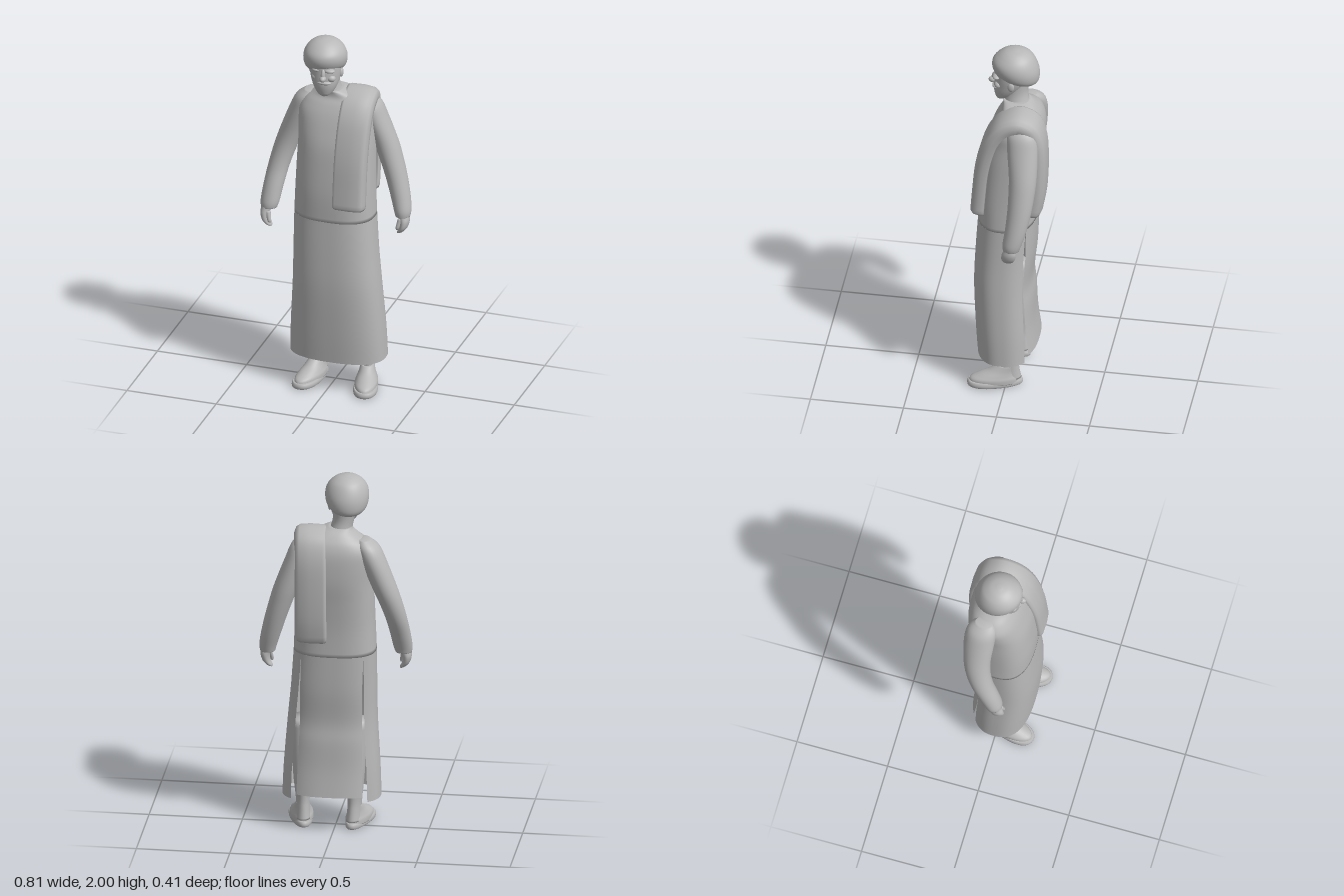
import * as THREE from 'three';

const cloth = new THREE.MeshStandardMaterial({ color: 0xb8b8b8, side: THREE.DoubleSide });
cloth.name = 'plainGrey';

// Smooth interpolation through rows of numbers
function spline(rows, steps) {
  const out = [];
  const at = i => rows[Math.max(0, Math.min(rows.length - 1, i))];
  for (let i = 0; i < rows.length - 1; i++) {
    for (let s = 0; s < steps; s++) {
      const t = s / steps;
      out.push(rows[i].map((p1, k) => {
        const p0 = at(i - 1)[k], p2 = at(i + 1)[k], p3 = at(i + 2)[k];
        return 0.5 * (2 * p1 + (p2 - p0) * t + (2 * p0 - 5 * p1 + 4 * p2 - p3) * t * t
          + (3 * p1 - p0 - 3 * p2 + p3) * t * t * t);
      }));
    }
  }
  out.push(rows[rows.length - 1]);
  return out;
}

// Skin rings of points; optional closed rings and end caps
function skin(rings, closed, caps) {
  const n = rings[0].length, pos = rings.flat(2), idx = [];
  const cols = closed ? n : n - 1;
  for (let i = 0; i < rings.length - 1; i++) {
    for (let j = 0; j < cols; j++) {
      const a = i * n + j, b = i * n + (j + 1) % n;
      idx.push(a, a + n, b, b, a + n, b + n);
    }
  }
  if (caps) {
    [0, rings.length - 1].forEach((r, end) => {
      const c = pos.length / 3;
      for (let k = 0; k < 3; k++) pos.push(rings[r].reduce((s, p) => s + p[k], 0) / n);
      for (let j = 0; j < n; j++) {
        const a = r * n + j, b = r * n + (j + 1) % n;
        idx.push(...(end ? [c, b, a] : [c, a, b]));
      }
    });
  }
  const g = new THREE.BufferGeometry();
  g.setAttribute('position', new THREE.Float32BufferAttribute(pos, 3));
  g.setIndex(idx);
  g.computeVertexNormals();
  return g;
}

// Horizontal sections [x, y, z, radiusX, radiusZ], bottom to top; from/to in degrees
function loft(rows, { from = 0, to = 360, power = 1, n = 36, caps = true, steps = 5 } = {}) {
  const closed = to - from === 360;
  const bend = v => Math.sign(v) * Math.pow(Math.abs(v), power);
  const rings = spline(rows, steps).map(([x, y, z, rx, rz, open = 0]) => {
    const ring = [];
    for (let j = 0; j < n; j++) {
      const f = from + open, t = to - open;
      const a = THREE.MathUtils.degToRad(f + (t - f) * j / (closed ? n : n - 1));
      ring.push([x + rx * bend(Math.cos(a)), y, z + rz * bend(Math.sin(a))]);
    }
    return ring;
  });
  return skin(rings, closed, caps && closed);
}

export function createModel() {
  const root = new THREE.Group();
  const add = (name, geometry, parent = root) => {
    const m = new THREE.Mesh(geometry, cloth);
    m.name = name;
    parent.add(m);
    return m;
  };
  const ball = (name, x, y, z, rx, ry, rz) => {
    const m = add(name, new THREE.SphereGeometry(1, 28, 20));
    m.position.set(x, y, z);
    m.scale.set(rx, ry, rz);
    return m;
  };

  // Upper robe, with the shoulders closing in to the neck
  add('robeTop', loft([
    [0.005, 1.00, 0.015, 0.220, 0.157], [0.005, 1.15, 0.013, 0.214, 0.160],
    [0.005, 1.30, 0.000, 0.210, 0.162], [0.005, 1.42, -0.015, 0.207, 0.162],
    [0.000, 1.52, -0.030, 0.207, 0.150], [0.000, 1.59, -0.040, 0.205, 0.135],
    [0.005, 1.64, -0.045, 0.180, 0.115], [0.005, 1.675, -0.045, 0.135, 0.093],
    [-0.01, 1.70, -0.035, 0.088, 0.080], [-0.03, 1.715, -0.020, 0.062, 0.070],
  ], { power: 0.8, n: 48 }));

  // Skirt: front wraps round the sides, back hangs between two slits
  add('skirtFront', loft([
    [0.022, 0.175, 0.010, 0.263, 0.158, 2], [0.022, 0.35, 0.018, 0.256, 0.162, 2],
    [0.020, 0.60, 0.030, 0.239, 0.160, 1.5], [0.012, 0.80, 0.026, 0.228, 0.158, 1],
    [0.005, 1.00, 0.015, 0.220, 0.157, 0],
  ], { from: -45, to: 225, power: 0.8, n: 54 }));
  add('skirtBack', loft([
    [0.018, 0.205, -0.005, 0.245, 0.148, 3], [0.018, 0.35, 0.000, 0.238, 0.135, 3],
    [0.015, 0.50, 0.010, 0.230, 0.138, 2], [0.014, 0.62, 0.012, 0.226, 0.130, 2],
    [0.012, 0.80, 0.010, 0.222, 0.145, 1], [0.005, 1.00, 0.015, 0.220, 0.157, 0],
  ], { from: 225, to: 315, power: 0.8, n: 24 }));

  // Sleeves
  add('rightSleeve', loft([
    [-0.357, 0.985, 0.048, 0.044, 0.042], [-0.354, 1.02, 0.040, 0.051, 0.048],
    [-0.345, 1.10, 0.010, 0.054, 0.055], [-0.329, 1.20, -0.030, 0.057, 0.061],
    [-0.303, 1.30, -0.058, 0.062, 0.067], [-0.268, 1.40, -0.072, 0.067, 0.074],
    [-0.214, 1.54, -0.075, 0.068, 0.083], [-0.183, 1.62, -0.070, 0.060, 0.077],
    [-0.160, 1.662, -0.065, 0.030, 0.045],
  ], { n: 28 }));
  add('leftSleeve', loft([
    [0.357, 0.995, -0.055, 0.040, 0.044], [0.354, 1.03, -0.060, 0.047, 0.051],
    [0.338, 1.10, -0.075, 0.053, 0.057], [0.311, 1.20, -0.090, 0.058, 0.064],
    [0.280, 1.30, -0.098, 0.063, 0.070], [0.247, 1.40, -0.100, 0.066, 0.075],
    [0.200, 1.54, -0.090, 0.060, 0.082], [0.178, 1.62, -0.080, 0.050, 0.076],
    [0.160, 1.662, -0.070, 0.030, 0.045],
  ], { n: 28 }));

  // Hands: palm, curled fingers and thumb
  const hand = (name, s, x, y, z) => {
    const g = new THREE.Group();
    g.name = name;
    g.position.set(x, y, z);
    root.add(g);
    add('palm', loft([
      [-0.022 * s, -0.105, 0.012, 0.008, 0.014], [-0.012 * s, -0.095, 0.012, 0.016, 0.026],
      [0.004 * s, -0.07, 0.010, 0.021, 0.036], [0.010 * s, -0.035, 0.005, 0.025, 0.038],
      [0.004 * s, 0, 0, 0.029, 0.030], [0, 0.04, -0.005, 0.030, 0.030],
    ], { n: 20 }), g);
    add('thumb', loft([
      [-0.024 * s, -0.08, 0.034, 0.006, 0.006], [-0.021 * s, -0.065, 0.034, 0.011, 0.011],
      [-0.010 * s, -0.02, 0.020, 0.014, 0.014],
    ], { n: 12 }), g);
  };
  hand('rightHand', -1, -0.363, 0.99, 0.058);
  hand('leftHand', 1, 0.362, 1.005, -0.05);

  // Scarf: path rows [centreX, y, z] of its outer face, front hem over shoulder to back hem
  const path = spline([
    [0.128, 1.095, 0.198], [0.128, 1.20, 0.190], [0.130, 1.35, 0.176], [0.132, 1.48, 0.150],
    [0.134, 1.59, 0.112], [0.134, 1.67, 0.055], [0.132, 1.712, -0.020], [0.128, 1.712, -0.090],
    [0.122, 1.665, -0.160], [0.117, 1.56, -0.198], [0.115, 1.40, -0.207], [0.115, 1.22, -0.200],
    [0.115, 1.09, -0.180],
  ], 5);
  // Cross-section [across, outward]; the outer edge curls down round the shoulder
  const band = [
    [-0.085, -0.040], [-0.088, -0.020], [-0.084, -0.006], [-0.070, 0], [0, 0.002],
    [0.055, -0.004], [0.076, -0.018], [0.085, -0.045], [0.082, -0.078], [0.070, -0.080],
    [0.055, -0.055], [0, -0.042],
  ];
  const scarfRings = path.map(([x, y, z], i) => {
    const p = path[Math.max(0, i - 1)], q = path[Math.min(path.length - 1, i + 1)];
    const dy = q[1] - p[1], dz = q[2] - p[2], len = Math.hypot(dy, dz);
    const end = i === 0 || i === path.length - 1 ? 0.94 : 1;
    return band.map(([u, v]) => {
      const w = v * end - (1 - end) * 0.1;
      return [x + u * end, y - w * dz / len, z + w * dy / len];
    }).reverse();
  });
  add('scarf', skin(scarfRings, true, true));

  // Neck and bearded face
  add('neck', loft([
    [-0.025, 1.64, -0.035, 0.075, 0.075], [-0.032, 1.70, -0.022, 0.060, 0.068],
    [-0.045, 1.76, -0.015, 0.058, 0.066], [-0.055, 1.85, -0.01, 0.070, 0.080],
  ], { n: 28 }));
  add('face', loft([
    [-0.043, 1.697, 0.068, 0.012, 0.012], [-0.043, 1.708, 0.062, 0.034, 0.028],
    [-0.045, 1.735, 0.045, 0.056, 0.054], [-0.047, 1.765, 0.032, 0.070, 0.072],
    [-0.050, 1.80, 0.018, 0.080, 0.086], [-0.052, 1.84, 0.010, 0.086, 0.092],
    [-0.055, 1.90, 0.005, 0.088, 0.095],
  ], { n: 32 }));
  ball('chin', -0.041, 1.725, 0.073, 0.032, 0.023, 0.022);
  ball('moustache', -0.038, 1.783, 0.088, 0.042, 0.012, 0.022);
  ball('lowerLip', -0.039, 1.757, 0.088, 0.024, 0.008, 0.013);
  ball('nose', -0.036, 1.812, 0.108, 0.017, 0.017, 0.023);
  const bridge = ball('noseBridge', -0.038, 1.835, 0.097, 0.012, 0.034, 0.017);
  bridge.rotation.x = -0.25;
  for (const s of [-1, 1]) {
    ball('cheek', -0.044 + s * 0.042, 1.806, 0.073, 0.025, 0.020, 0.022);
    ball('brow', -0.042 + s * 0.034, 1.853, 0.082, 0.030, 0.012, 0.022);
    ball('ear', -0.053 + s * 0.085, 1.815, 0.0, 0.010, 0.026, 0.018);
  }

  // Turban: full at the back, lifted over the brow
  const turban = loft([
    [0, -0.088, -0.010, 0.070, 0.078], [0, -0.080, -0.010, 0.092, 0.102],
    [0, -0.055, -0.008, 0.110, 0.121], [0, -0.015, -0.004, 0.117, 0.127],
    [0, 0.025, 0, 0.110, 0.117], [0, 0.060, 0, 0.088, 0.092],
    [0, 0.085, 0, 0.052, 0.054], [0, 0.095, 0, 0.012, 0.012],
  ], { n: 40 });
  const tp = turban.attributes.position;
  for (let i = 0; i < tp.count; i++) {
    const low = THREE.MathUtils.clamp((0.06 - tp.getY(i)) / 0.14, 0, 1);
    const lift = tp.getZ(i) * 0.22 - tp.getX(i) * -0.10;
    tp.setY(i, tp.getY(i) + low * lift);
  }
  turban.computeVertexNormals();
  add('turban', turban).position.set(-0.062, 1.905, -0.008);

  // Legs and slippers
  for (const [side, x, yaw] of [['right', -0.105, -0.22], ['left', 0.178, 0.22]]) {
    const leg = new THREE.Group();
    leg.name = side + 'Leg';
    leg.position.x = x;
    leg.rotation.y = yaw;
    root.add(leg);
    add('shin', loft([
      [0, 0.04, -0.020, 0.040, 0.060], [0, 0.10, -0.015, 0.036, 0.054],
      [0, 0.16, -0.010, 0.038, 0.054], [0, 0.30, -0.010, 0.052, 0.060],
      [0, 0.60, 0.010, 0.065, 0.068],
    ], { n: 24 }), leg);
    add('foot', loft([
      [0, 0.02, 0.062, 0.062, 0.138], [0, 0.045, 0.060, 0.061, 0.132],
      [0, 0.065, 0.045, 0.053, 0.108], [0, 0.090, 0.018, 0.043, 0.076],
      [0, 0.12, -0.008, 0.036, 0.055],
    ], { n: 32 }), leg);
    // Egg-shaped sole, broad at the toes
    const sole = loft([
      [0, 0, 0.06, 0.060, 0.138], [0, 0.006, 0.06, 0.067, 0.147],
      [0, 0.022, 0.06, 0.068, 0.148], [0, 0.034, 0.06, 0.062, 0.140],
    ], { n: 40, power: 0.9, steps: 2 });
    const sp = sole.attributes.position;
    for (let i = 0; i < sp.count; i++) sp.setX(i, sp.getX(i) * (0.85 + 1.3 * sp.getZ(i)));
    sole.computeVertexNormals();
    add('sole', sole, leg);
  }
  return root;
}
